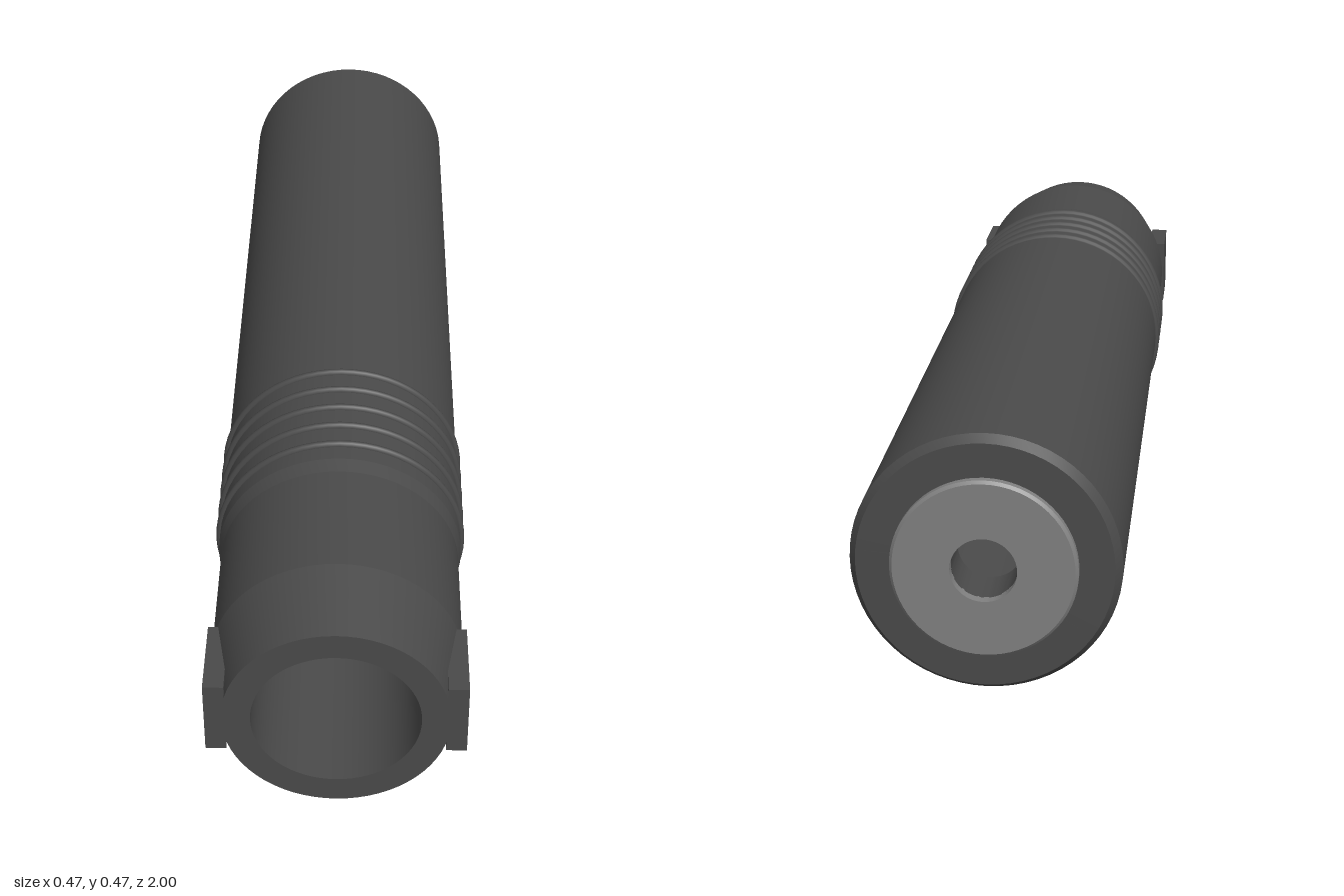
import * as THREE from 'three';
import { toCreasedNormals } from 'three/addons/utils/BufferGeometryUtils.js';

const AXIS_Y = 0.238;

// Revolves a closed [radius, z] outline around the z axis, keeping edges sharp
function turned(name, outline, material) {
  const points = [...outline, outline[0]].map(([r, z]) => new THREE.Vector2(r, z));
  const geometry = toCreasedNormals(new THREE.LatheGeometry(points, 64), 0.14);
  geometry.rotateX(Math.PI / 2);
  const mesh = new THREE.Mesh(geometry, material);
  mesh.name = name;
  mesh.position.y = AXIS_Y;
  return mesh;
}

export function createModel() {
  const darkMetal = new THREE.MeshStandardMaterial({ color: 0x4a4a4a });
  darkMetal.name = 'dark metal';
  const greyMetal = new THREE.MeshStandardMaterial({ color: 0x808080 });
  greyMetal.name = 'grey metal';

  const model = new THREE.Group();
  model.name = 'tube';

  // Hollow body: chamfered back, stepped and tapered front, wide bore, narrow back hole
  model.add(turned('body', [
    [0.216, -0.983], [0.228, -0.966], [0.228, 0.57], [0.222, 0.6],
    [0.222, 0.85], [0.197, 1], [0.147, 1], [0.147, -0.9],
    [0.056, -0.9], [0.056, -0.983],
  ], darkMetal));

  // Raised grip rings
  for (let i = 0; i < 5; i++) {
    const ring = new THREE.Mesh(new THREE.TorusGeometry(0.2285, 0.0075, 10, 64), darkMetal);
    ring.name = 'gripRing';
    ring.position.set(0, AXIS_Y, 0.305 + i * 0.056);
    model.add(ring);
  }

  // Back plug with a central hole
  model.add(turned('backPlug', [
    [0.152, -1], [0.157, -0.995], [0.157, -0.98], [0.056, -0.98], [0.056, -1],
  ], greyMetal));

  // Side lugs at the front
  for (const side of [1, -1]) {
    const lug = new THREE.Mesh(new THREE.BoxGeometry(0.036, 0.146, 0.147), darkMetal);
    lug.name = side > 0 ? 'leftLug' : 'rightLug';
    lug.position.set(side * 0.208, 0.24, 0.9265);
    model.add(lug);
  }

  return model;
}
